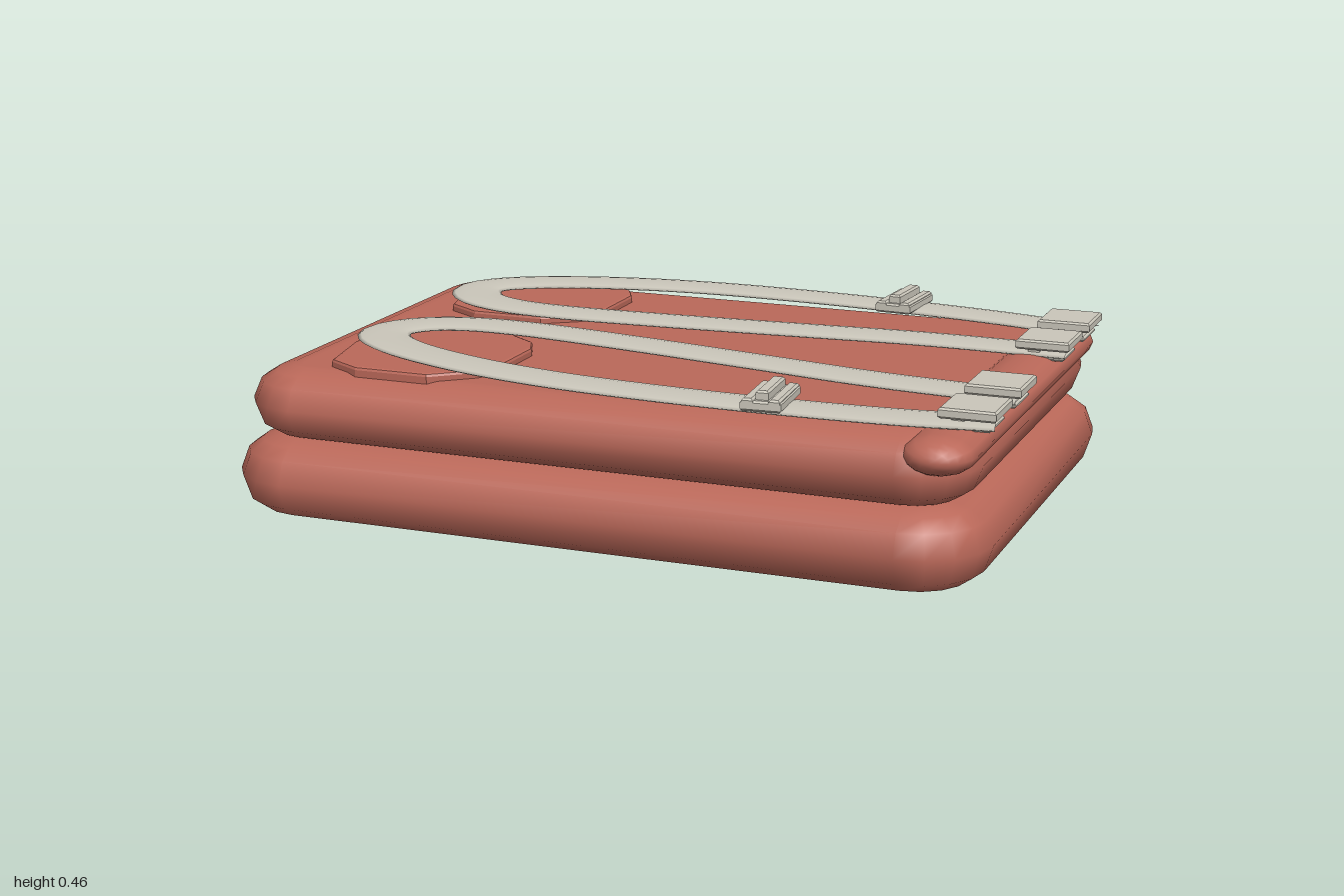
import * as THREE from 'three';

const fabric = new THREE.MeshStandardMaterial({ color: 0xba6859 });
fabric.name = 'red fabric';
const webbing = new THREE.MeshStandardMaterial({ color: 0xcac6ba });
webbing.name = 'pale webbing';

function add(parent, name, geometry, material) {
  const mesh = new THREE.Mesh(geometry, material);
  mesh.name = name;
  parent.add(mesh);
  return mesh;
}

// Rounded-rectangle cushion, lofted through rings of [y, inset]
function cushion(x0, x1, halfZ, radius, rings) {
  const steps = 4, n = 4 * (steps + 1), pos = [], index = [];
  const cx = (x0 + x1) / 2, hx = (x1 - x0) / 2;
  for (const [y, inset] of rings) {
    for (let q = 0; q < 4; q++) {
      const sx = q === 0 || q === 3 ? 1 : -1, sz = q < 2 ? 1 : -1;
      for (let k = 0; k <= steps; k++) {
        const a = (q + k / steps) * Math.PI / 2, r = radius - inset;
        pos.push(cx + sx * (hx - radius) + r * Math.cos(a), y,
          sz * (halfZ - radius) + r * Math.sin(a));
      }
    }
  }
  for (let j = 0; j < rings.length - 1; j++) {
    for (let i = 0; i < n; i++) {
      const a = j * n + i, b = j * n + (i + 1) % n;
      index.push(a, a + n, b, b, a + n, b + n);
    }
  }
  const bottom = pos.length / 3, top = bottom + 1, last = (rings.length - 1) * n;
  pos.push(cx, rings[0][0], 0, cx, rings[rings.length - 1][0], 0);
  for (let i = 0; i < n; i++) {
    const k = (i + 1) % n;
    index.push(bottom, i, k, top, last + k, last + i);
  }
  const g = new THREE.BufferGeometry();
  g.setAttribute('position', new THREE.Float32BufferAttribute(pos, 3));
  g.setIndex(index);
  g.computeVertexNormals();
  return g;
}

// Puffy edge profile between two heights
function puffy(y0, y1) {
  const h = y1 - y0;
  return [[0, 0.13], [0, 0.105], [0.07, 0.06], [0.2, 0.022], [0.52, 0],
    [0.8, 0.022], [0.93, 0.06], [1, 0.105], [1, 0.13]].map(([t, d]) => [y0 + t * h, d]);
}

// Flat block with a small bevel, centred on its own origin
function plate(w, h, d) {
  const b = 0.005, x = w / 2 - b, z = d / 2 - b;
  const s = new THREE.Shape([[-x, -z], [x, -z], [x, z], [-x, z]]
    .map(p => new THREE.Vector2(...p)));
  const g = new THREE.ExtrudeGeometry(s, {
    depth: h - 2 * b, bevelSize: b, bevelThickness: b, bevelSegments: 1 });
  g.translate(0, 0, -h / 2 + b);
  return g.rotateX(-Math.PI / 2);
}

const strapHeight = x => 0.412 - 0.015 * x;
const strapPath = [[0.98, -0.495], [0.75, -0.54], [0.45, -0.567], [0.15, -0.574],
  [-0.15, -0.556], [-0.4, -0.503], [-0.6, -0.42], [-0.695, -0.34], [-0.715, -0.265],
  [-0.665, -0.175], [-0.56, -0.122], [-0.4, -0.108], [-0.1, -0.135], [0.3, -0.188],
  [0.6, -0.228], [0.98, -0.245]];
const patchOutline = [[-0.785, -0.33], [-0.745, -0.53], [-0.65, -0.585], [-0.45, -0.585],
  [-0.35, -0.5], [-0.32, -0.44], [-0.32, -0.24], [-0.35, -0.17], [-0.45, -0.1],
  [-0.65, -0.1], [-0.745, -0.16]];

function strapSet(side) {
  const set = new THREE.Group();
  set.name = side > 0 ? 'backStrapSet' : 'frontStrapSet';

  // Fabric patch under the bend of the strap
  const outline = new THREE.Shape(patchOutline.map(([x, z]) => new THREE.Vector2(x, -z * side)));
  const patch = new THREE.ExtrudeGeometry(outline, {
    depth: 0.025, bevelSize: 0.01, bevelOffset: -0.01, bevelThickness: 0.008, bevelSegments: 2 });
  patch.rotateX(-Math.PI / 2).translate(0, 0.37, 0);
  add(set, 'strapPatch', patch, fabric);

  // Flattened tube for the webbing loop, sloping down towards the clips
  const curve = new THREE.CatmullRomCurve3(
    strapPath.map(([x, z]) => new THREE.Vector3(x, 0, z * side)));
  const loop = new THREE.TubeGeometry(curve, 96, 0.069, 12, false);
  loop.scale(1, 0.14, 1);
  const p = loop.attributes.position;
  for (let i = 0; i < p.count; i++) p.setY(i, p.getY(i) + strapHeight(p.getX(i)));
  add(set, 'strapLoop', loop, webbing);

  // End clips: two jaws joined by a short web
  for (const z of [-0.482, -0.247]) {
    const clip = new THREE.Group();
    clip.name = 'endClip';
    clip.position.set(0.925, 0, z * side);
    add(clip, 'clipTop', plate(0.14, 0.026, 0.152), webbing).position.y = 0.425;
    add(clip, 'clipBottom', plate(0.11, 0.014, 0.125), webbing).position.y = 0.391;
    add(clip, 'clipWeb', new THREE.BoxGeometry(0.03, 0.03, 0.12), webbing)
      .position.set(-0.025, 0.404, 0);
    set.add(clip);
  }

  // Slider buckle with a raised centre bar
  const slider = new THREE.Group();
  slider.name = 'sliderBuckle';
  slider.position.set(0.445, 0, -0.553 * side);
  slider.rotation.y = -0.07 * side;
  add(slider, 'sliderPlate', plate(0.1, 0.026, 0.18), webbing).position.y = 0.421;
  for (const x of [-0.033, 0.033]) {
    add(slider, 'sliderRail', plate(0.028, 0.02, 0.18), webbing).position.set(x, 0.429, 0);
  }
  add(slider, 'sliderBar', plate(0.032, 0.03, 0.15), webbing).position.y = 0.441;
  set.add(slider);
  return set;
}

export function createModel() {
  const model = new THREE.Group();
  model.name = 'foldedBedroll';

  // Two stacked folds
  add(model, 'lowerFold', cushion(-1, 0.99, 0.71, 0.19, puffy(0, 0.207)), fabric);
  add(model, 'upperFold', cushion(-0.968, 0.955, 0.672, 0.17, puffy(0.198, 0.382)), fabric);

  // Rolled flap along one end, lifted along its middle
  const roll = new THREE.CapsuleGeometry(0.088, 1.2, 6, 14, 24);
  roll.rotateX(Math.PI / 2).scale(1, 0.54, 1);
  const p = roll.attributes.position;
  for (let i = 0; i < p.count; i++) {
    const t = THREE.MathUtils.smoothstep(0.62 - Math.abs(p.getZ(i)), 0, 0.12);
    p.setX(i, p.getX(i) + 0.875 + 0.01 * t);
    p.setY(i, p.getY(i) + 0.34 + 0.013 * t);
  }
  add(model, 'endRoll', roll, fabric);

  model.add(strapSet(1), strapSet(-1));
  return model;
}
